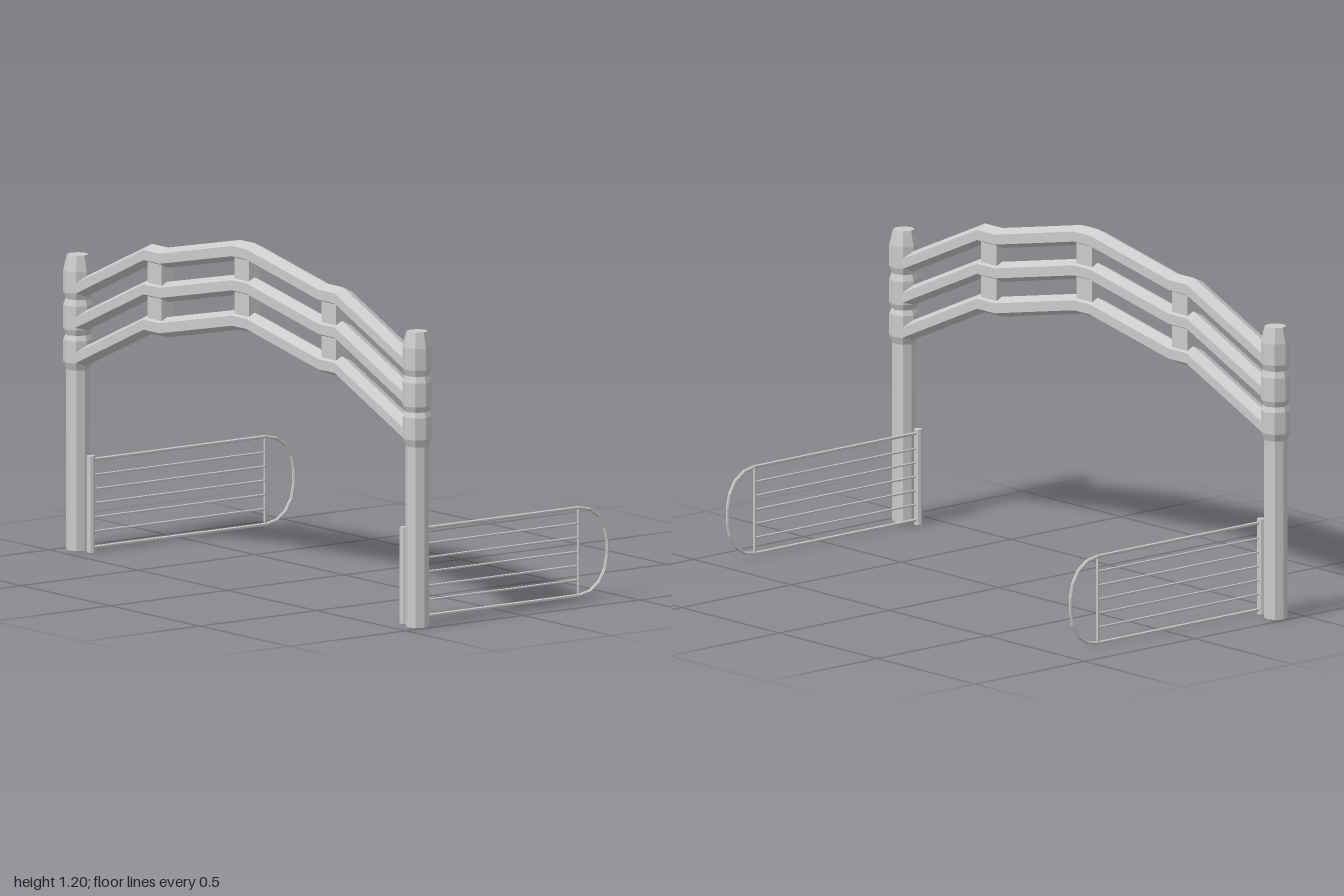
import * as THREE from 'three';

const POST_X = 0.95, FRONT_Z = 0.413, GATE_X = 0.877;

export function createModel() {
  const model = new THREE.Group();
  model.name = 'archedGateway';
  const material = new THREE.MeshStandardMaterial({ color: 0xcccccc, flatShading: true });

  function add(parent, name, geometry, x = 0, y = 0, z = 0) {
    const mesh = new THREE.Mesh(geometry, material);
    mesh.name = name;
    mesh.position.set(x, y, z);
    parent.add(mesh);
    return mesh;
  }

  // Octagonal post with three turned bulges at the top: [radius, height]
  const postProfile = [
    [0, 0], [0.04, 0], [0.04, 0.623], [0.05, 0.649], [0.05, 0.725], [0.042, 0.743],
    [0.05, 0.763], [0.05, 0.845], [0.042, 0.867], [0.05, 0.89], [0.05, 0.965],
    [0.037, 1.019], [0, 1.019],
  ].map(([r, y]) => new THREE.Vector2(r, y));

  // Hexagonal rail, ridge up, bent into an arch
  const railX = [-0.95, -0.535, -0.445, -0.04, 0.04, 0.445, 0.535, 0.95];
  const railDrop = [0.267, 0.083, 0.083, 0, 0, 0.083, 0.083, 0.267];
  function railGeometry() {
    const last = railX.length - 1;
    const g = new THREE.CylinderGeometry(0.035, 0.035, 1, 6, last, true, Math.PI / 2);
    g.rotateZ(Math.PI / 2);
    g.scale(1, 1, 1.2);
    const p = g.attributes.position;
    for (let i = 0; i < p.count; i++) {
      const k = Math.round((p.getX(i) + 0.5) * last);
      p.setXY(i, railX[k], p.getY(i) - railDrop[k]);
    }
    g.computeVertexNormals();
    return g;
  }

  const rails = new THREE.Group();
  rails.name = 'archRails';
  model.add(rails);
  const railHeights = [1.16, 1.042, 0.92];
  railHeights.forEach((y) => add(rails, 'rail', railGeometry(), 0, y, FRONT_Z));

  // Spacer blocks between the rails
  for (const [x, drop] of [[-0.488, 0.083], [0, 0], [0.488, 0.083]]) {
    for (let i = 0; i < 2; i++) {
      const top = railHeights[i], bottom = railHeights[i + 1];
      add(rails, 'spacerBlock', new THREE.BoxGeometry(0.08, top - bottom, 0.05),
        x, (top + bottom) / 2 - drop, FRONT_Z);
    }
  }

  // Horizontal gate bar running back from the gate post
  const backZ = -0.332, barLength = FRONT_Z - backZ;
  function barGeometry(radius) {
    return new THREE.CylinderGeometry(radius, radius, barLength, 6).rotateX(Math.PI / 2);
  }

  // Rounded end of the gate frame: [y, z]
  const bend = new THREE.CatmullRomCurve3([
    [0.319, backZ], [0.304, -0.393], [0.262, -0.435], [0.209, -0.453],
    [0.126, -0.453], [0.073, -0.435], [0.031, -0.393], [0.016, backZ],
  ].map(([y, z]) => new THREE.Vector3(0, y, z)));

  for (const side of [-1, 1]) {
    add(model, 'post', new THREE.LatheGeometry(postProfile, 8), side * POST_X, 0, FRONT_Z);

    const gate = new THREE.Group();
    gate.name = 'gate';
    gate.position.x = side * GATE_X;
    model.add(gate);
    add(gate, 'gatePost', new THREE.CylinderGeometry(0.015, 0.015, 0.333, 8), 0, 0.1665, FRONT_Z);
    const midZ = (FRONT_Z + backZ) / 2;
    for (const y of [0.016, 0.319]) add(gate, 'frameBar', barGeometry(0.006), 0, y, midZ);
    for (let i = 0; i < 5; i++) add(gate, 'gateBar', barGeometry(0.004), 0, 0.07 + i * 0.0488, midZ);
    add(gate, 'endUpright', new THREE.CylinderGeometry(0.005, 0.005, 0.303, 6), 0, 0.1675, backZ);
    add(gate, 'roundedEnd', new THREE.TubeGeometry(bend, 9, 0.006, 6));
  }
  return model;
}
